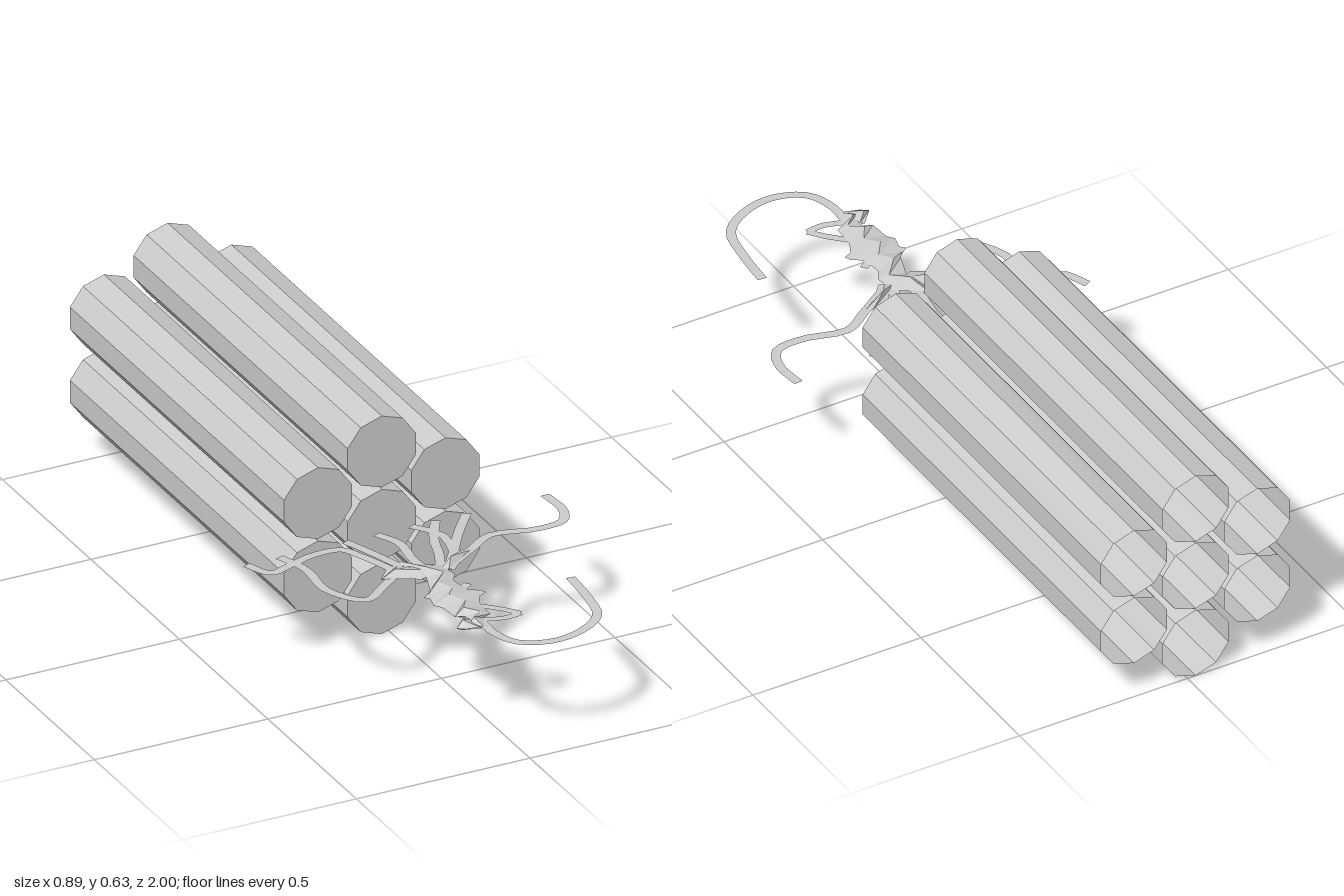
import * as THREE from 'three';

const MID_Y = 0.315;

// Flat strand lying in the horizontal plane, following [x, z] points.
function strandGeometry(points, width) {
  const curve = new THREE.CatmullRomCurve3(points.map(([x, z]) => new THREE.Vector3(x, 0, z)));
  const steps = points.length > 3 ? points.length * 3 : 4;
  const pos = [], idx = [];
  for (let i = 0; i <= steps; i++) {
    const p = curve.getPoint(i / steps), t = curve.getTangent(i / steps);
    const w = width / 2;
    pos.push(p.x - t.z * w, 0, p.z + t.x * w, p.x + t.z * w, 0, p.z - t.x * w);
    if (i < steps) {
      const a = i * 2;
      idx.push(a, a + 1, a + 2, a + 1, a + 3, a + 2);
    }
  }
  return buildGeometry(pos, idx);
}

// Crumpled lump with a sharp rim and a ridge above and below; rows are [z, left, right].
function lumpGeometry(rows, height) {
  const pos = [], idx = [];
  rows.forEach(([z, l, r], i) => {
    const ridge = l + (r - l) * (i % 2 ? 0.35 : 0.62);
    const h = i === 0 || i === rows.length - 1 ? 0.002 : height * (i % 2 ? 1 : 0.65);
    const skew = i % 2 ? 0.012 : -0.008;
    pos.push(l, 0, z + skew, ridge, h, z, r, 0, z - skew, ridge, -h, z);
    if (i < rows.length - 1) {
      for (let k = 0; k < 4; k++) {
        const a = i * 4 + k, b = i * 4 + ((k + 1) % 4);
        idx.push(a, a + 4, b, b, a + 4, b + 4);
      }
    }
  });
  return buildGeometry(pos, idx);
}

function buildGeometry(pos, idx) {
  const geo = new THREE.BufferGeometry();
  geo.setAttribute('position', new THREE.Float32BufferAttribute(pos, 3));
  geo.setIndex(idx);
  geo.computeVertexNormals();
  return geo;
}

export function createModel() {
  const model = new THREE.Group();
  model.name = 'tubeBundle';
  const grey = new THREE.MeshStandardMaterial({ color: 0xcccccc, flatShading: true, side: THREE.DoubleSide });
  grey.name = 'light grey';

  const add = (parent, name, geo) => {
    const mesh = new THREE.Mesh(geo, grey);
    mesh.name = name;
    parent.add(mesh);
    return mesh;
  };

  // Seven ten-sided tubes, closed at the front and open at the back
  const radius = 0.103, front = 0.21, back = -1, length = front - back;
  const wall = new THREE.CylinderGeometry(radius, radius, length, 10, 1, true).rotateX(Math.PI / 2);
  const cap = new THREE.CircleGeometry(radius, 10, Math.PI / 2);
  const centres = [[-0.024, MID_Y]];
  for (const s of [-1, 1]) {
    centres.push([-0.024, MID_Y + s * 0.212]);
    for (const side of [-1, 1]) centres.push([-0.024 + side * 0.1835, MID_Y + s * 0.106]);
  }
  for (const [x, y] of centres) {
    const tube = new THREE.Group();
    tube.name = 'tube';
    tube.position.set(x, y, 0);
    add(tube, 'tubeWall', wall).position.z = (front + back) / 2;
    add(tube, 'tubeFrontCap', cap).position.z = front;
    model.add(tube);
  }

  const cord = new THREE.Group();
  cord.name = 'cord';
  cord.position.y = MID_Y;
  model.add(cord);

  // Loose strands fanning out toward the tubes, and the long tail
  const strands = [
    [[-0.435, 0.25], [-0.40, 0.32], [-0.34, 0.305], [-0.26, 0.28], [-0.18, 0.285], [-0.15, 0.34], [-0.11, 0.45]],
    [[-0.34, 0.25], [-0.31, 0.34], [-0.315, 0.47], [-0.25, 0.565], [-0.18, 0.52], [-0.11, 0.465]],
    [[-0.15, 0.25], [-0.12, 0.33], [-0.085, 0.44]],
    [[-0.06, 0.25], [-0.03, 0.32], [-0.04, 0.42], [-0.03, 0.5]],
    [[0.04, 0.25], [0.09, 0.33], [0.07, 0.44]],
    [[0.11, 0.25], [0.06, 0.34], [0.03, 0.43], [-0.01, 0.51]],
    [[0.2, 0.25], [0.13, 0.34], [0.07, 0.43], [0.02, 0.5]],
    [[0.425, 0.25], [0.43, 0.34], [0.40, 0.4], [0.32, 0.41], [0.2, 0.385], [0.125, 0.43], [0.05, 0.48]],
    [[-0.04, 0.8], [-0.04, 0.88], [-0.01, 0.95], [0.07, 0.985], [0.16, 0.97], [0.24, 0.91], [0.265, 0.8], [0.275, 0.69]],
  ];
  for (const points of strands) add(cord, 'strand', strandGeometry(points, 0.026));

  // Short frayed ends around the twisted trunk
  const frays = [
    [[-0.01, 0.72], [0.04, 0.77], [0.07, 0.81]],
    [[0.07, 0.81], [0.02, 0.815], [-0.05, 0.79]],
    [[-0.02, 0.69], [0.01, 0.67], [0.04, 0.655]],
    [[-0.02, 0.64], [0.0, 0.62], [0.025, 0.6]],
    [[-0.05, 0.6], [-0.08, 0.61], [-0.105, 0.63]],
  ];
  for (const points of frays) add(cord, 'frayedEnd', strandGeometry(points, 0.022));

  // Twisted trunk and knots
  const lumps = {
    trunk: [[0.42, -0.08, -0.066], [0.49, -0.075, 0.01], [0.53, -0.055, 0.02], [0.58, -0.08, 0],
      [0.62, -0.095, 0.01], [0.66, -0.11, 0.035], [0.70, -0.095, 0.005], [0.74, -0.09, 0],
      [0.77, -0.065, 0], [0.80, -0.08, -0.025], [0.835, -0.065, -0.04]],
    upperKnot: [[0.435, -0.12, -0.08], [0.47, -0.165, -0.035], [0.495, -0.14, 0], [0.515, -0.07, 0.01]],
    sideKnot: [[0.43, 0.065, 0.115], [0.47, 0.02, 0.085], [0.51, -0.005, 0.03]],
    lowerKnot: [[0.775, -0.075, -0.06], [0.80, -0.115, -0.05], [0.835, -0.095, -0.04]],
  };
  for (const [name, rows] of Object.entries(lumps)) add(cord, name, lumpGeometry(rows, 0.015));

  return model;
}
